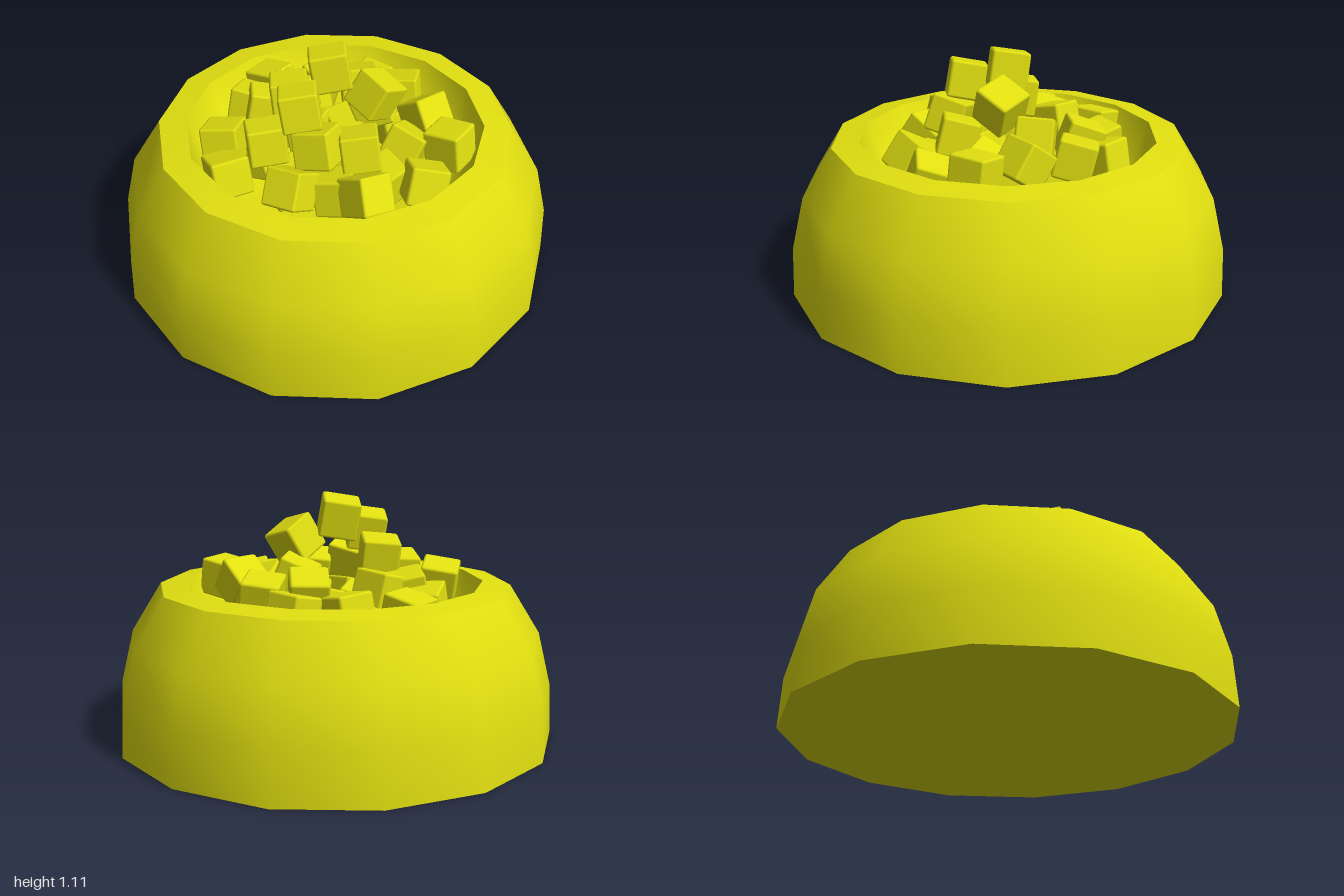
import * as THREE from 'three';
import { RoundedBoxGeometry } from 'three/addons/geometries/RoundedBoxGeometry.js';

const SIDES = 14;

// Visible heap cubes as [x, y, z, yaw, tilt about x, tilt about z], angles in degrees
const HEAP = [
  [-0.02, 1.00, 0.00, 5, -8, 10],
  [-0.14, 0.92, 0.19, 5, -10, 9],
  [0.18, 0.89, 0.03, -38, -10, -28],
  [-0.20, 0.83, -0.04, 6, -8, 6],
  [-0.06, 0.77, 0.26, -20, -18, 8],
  [-0.29, 0.73, 0.18, 12, -10, 6],
  [0.12, 0.73, 0.22, 3, -14, 8],
  [0.17, 0.74, -0.12, -8, -6, 22],
  [0.10, 0.71, -0.32, 6, -20, 4],
  [0.30, 0.69, -0.29, -8, -14, 5],
  [-0.20, 0.70, -0.22, -38, 8, 12],
  [-0.32, 0.69, -0.14, 8, -10, -10],
  [0.41, 0.71, -0.07, 35, -30, 20],
  [0.51, 0.70, 0.13, -32, -6, 6],
  [0.32, 0.66, 0.10, -20, -20, -25],
  [-0.48, 0.69, 0.13, -10, -15, 6],
];

// Outer cubes resting near the rim as [x, z, yaw, tilt about x]
const OUTER = [
  [-0.32, -0.41, -36, -8],
  [-0.07, -0.41, 35, 6],
  [0.16, -0.42, -38, 8],
  [-0.40, -0.23, -15, -12],
  [-0.45, 0.30, 25, -15],
  [-0.17, 0.39, -28, -32],
  [0.15, 0.42, 40, -32],
  [0.40, 0.33, 10, -22],
];

export function createModel() {
  const group = new THREE.Group();
  const yellow = new THREE.MeshStandardMaterial({ color: 0xe2e010 });
  yellow.name = 'yellow';

  // One turned section of the bowl, with a corner pointing along +x
  const section = (name, profile) => {
    const points = profile.map(([r, y]) => new THREE.Vector2(r, y));
    const mesh = new THREE.Mesh(new THREE.LatheGeometry(points, SIDES, Math.PI / 2), yellow);
    mesh.name = name;
    return mesh;
  };

  // Bowl: separate sections keep the creases sharp
  const bowl = new THREE.Group();
  bowl.name = 'bowl';
  bowl.add(
    section('bowlBase', [[0, 0], [1, 0]]),
    section('bowlOutside', [[1, 0], [0.99, 0.23], [0.932, 0.47], [0.795, 0.692]]),
    section('bowlRim', [[0.795, 0.692], [0.67, 0.71]]),
    section('bowlInside', [[0.67, 0.71], [0.6, 0.53], [0.44, 0.41], [0, 0.38]]),
  );
  group.add(bowl);

  // Heap of bevelled cubes, turned about y first and then tilted
  const heap = new THREE.Group();
  heap.name = 'foodHeap';
  const cube = new RoundedBoxGeometry(0.17, 0.17, 0.17, 1, 0.012);
  const rad = THREE.MathUtils.degToRad;
  const addCube = (name, x, y, z, yaw, tiltX, tiltZ) => {
    const piece = new THREE.Mesh(cube, yellow);
    piece.name = name;
    piece.position.set(x, y, z);
    piece.rotation.set(rad(tiltX), rad(yaw), rad(tiltZ), 'XZY');
    heap.add(piece);
  };
  HEAP.forEach((values, i) => addCube(`heapCube${i + 1}`, ...values));
  OUTER.forEach(([x, z, yaw, tiltX], i) =>
    addCube(`outerCube${i + 1}`, x, 0.64, z, yaw, tiltX, i % 2 ? -9 : 9));

  // Buried cubes: two rings below the visible ones
  const buriedRing = (name, count, radius, y, start) => {
    for (let i = 0; i < count; i++) {
      const a = start + (i / count) * Math.PI * 2;
      addCube(`${name}${i + 1}`, radius * Math.cos(a), y, radius * Math.sin(a), 37 * i, i % 2 ? 14 : -12, 10);
    }
  };
  buriedRing('buriedCube', 9, 0.33, 0.58, 0.1);
  buriedRing('innerCube', 4, 0.13, 0.61, 0.5);
  group.add(heap);

  return group;
}
